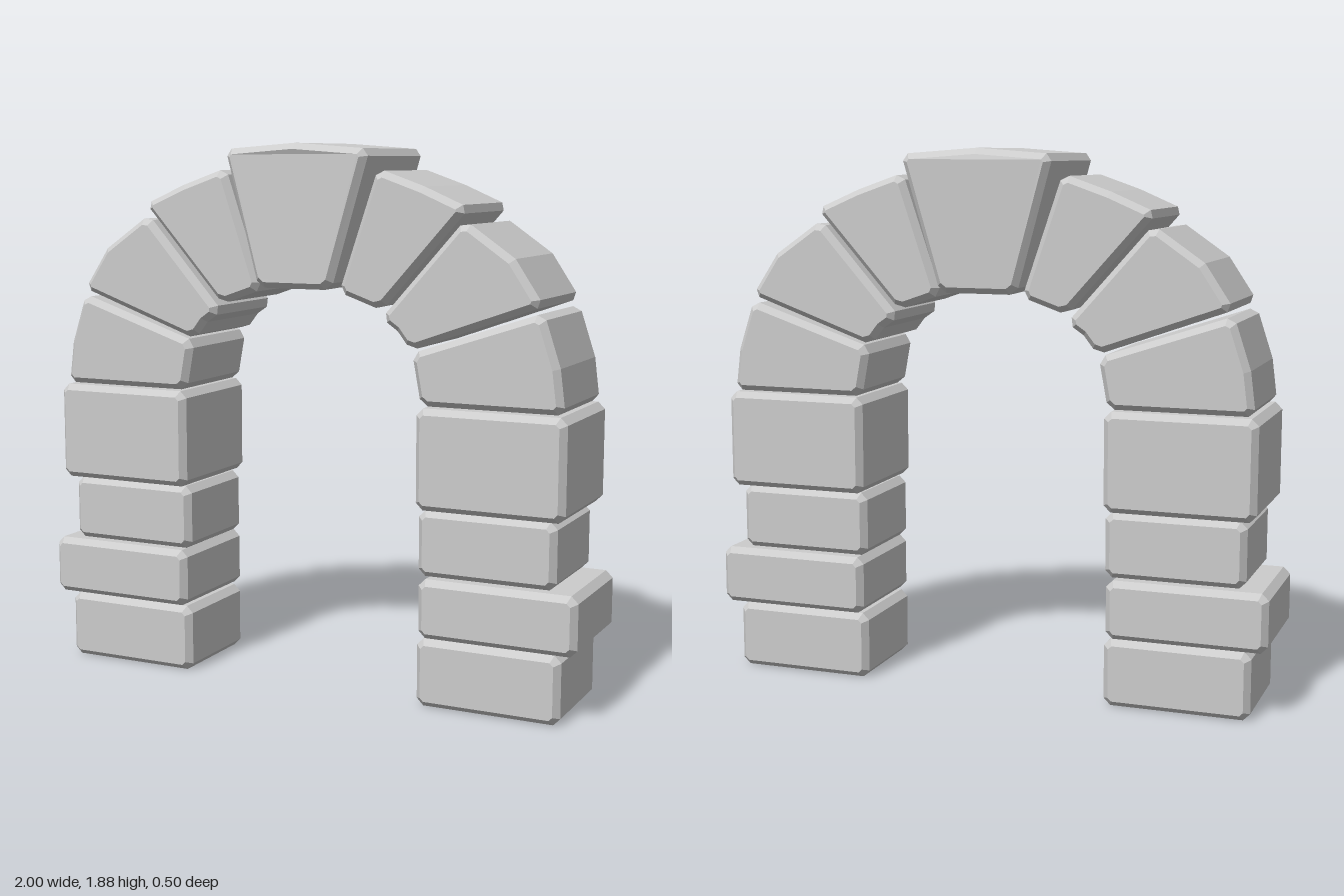
import * as THREE from 'three';

const material = new THREE.MeshStandardMaterial({ color: 0xcccccc, flatShading: true });
const CHAMFER = 0.024;

// Outline with its corners cut; points flagged with a third value stay uncut
function cutCorners(points) {
  const out = [];
  points.forEach(([x, y, soft], i) => {
    const p = new THREE.Vector2(x, y);
    if (soft) { out.push(p); return; }
    const n = points.length;
    for (const q of [points[(i + n - 1) % n], points[(i + 1) % n]]) {
      const dir = new THREE.Vector2(q[0] - x, q[1] - y).normalize();
      out.push(p.clone().addScaledVector(dir, CHAMFER));
    }
  });
  return out;
}

// Stone with every edge chamfered, spanning z0..z1
function stone(name, points, z0, z1) {
  const geometry = new THREE.ExtrudeGeometry(new THREE.Shape(cutCorners(points)), {
    depth: z1 - z0 - 2 * CHAMFER,
    bevelEnabled: true,
    bevelSegments: 1,
    bevelThickness: CHAMFER,
    bevelSize: CHAMFER * 0.85,
    bevelOffset: -CHAMFER * 0.85,
  });
  geometry.translate(0, 0, z0 + CHAMFER);
  const mesh = new THREE.Mesh(geometry, material);
  mesh.name = name;
  return mesh;
}

const rect = (x0, x1, y0, y1) => [[x0, y0], [x1, y0], [x1, y1], [x0, y1]];

// One side of the arch, from the foot up: name, outline, back z, front z
const SIDE = [
  ['footStone', rect(0.437, 0.943, 0, 0.235), -0.187, 0.21],
  ['wideStone', rect(0.447, 1.0, 0.24, 0.443), -0.205, 0.225],
  ['narrowStone', rect(0.438, 0.92, 0.448, 0.673), -0.185, 0.205],
  ['tallStone', rect(0.438, 0.955, 0.677, 1.018), -0.215, 0.235],
  ['springerStone', [[0.445, 1.022], [0.94, 1.022], [0.921, 1.17, 1], [0.863, 1.345], [0.413, 1.195]], -0.2, 0.215],
  ['haunchStone', [[0.408, 1.203], [0.863, 1.365], [0.765, 1.512, 1], [0.592, 1.632], [0.302, 1.305], [0.36, 1.265, 1]], -0.2, 0.215],
  ['upperStone', [[0.302, 1.33], [0.605, 1.67], [0.45, 1.737, 1], [0.284, 1.795], [0.145, 1.385]], -0.2, 0.21],
];

export function createModel() {
  const group = new THREE.Group();
  group.name = 'stoneArch';

  // Mirrored pillars and arch stones
  for (const [name, points, z0, z1] of SIDE) {
    group.add(stone(name + 'Left', points, z0, z1));
    const mirrored = points.map(([x, y, soft]) => [-x, y, soft]).reverse();
    group.add(stone(name + 'Right', mirrored, z0, z1));
  }

  // Keystone, bowed slightly forward and leaning a little
  const keystone = stone('keystone',
    [[-0.137, 1.395], [0, 1.395, 1], [0.137, 1.395], [0.268, 1.858], [0, 1.878, 1], [-0.268, 1.858]],
    -0.245, 0.245);
  const pos = keystone.geometry.attributes.position;
  for (let i = 0; i < pos.count; i++) {
    const bow = 0.01 * (1 - (pos.getX(i) / 0.268) ** 2);
    const lean = 0.008 * (1.878 - pos.getY(i)) / 0.48;
    pos.setZ(i, pos.getZ(i) + bow + lean - 0.006);
  }
  keystone.geometry.computeVertexNormals();
  group.add(keystone);

  return group;
}
